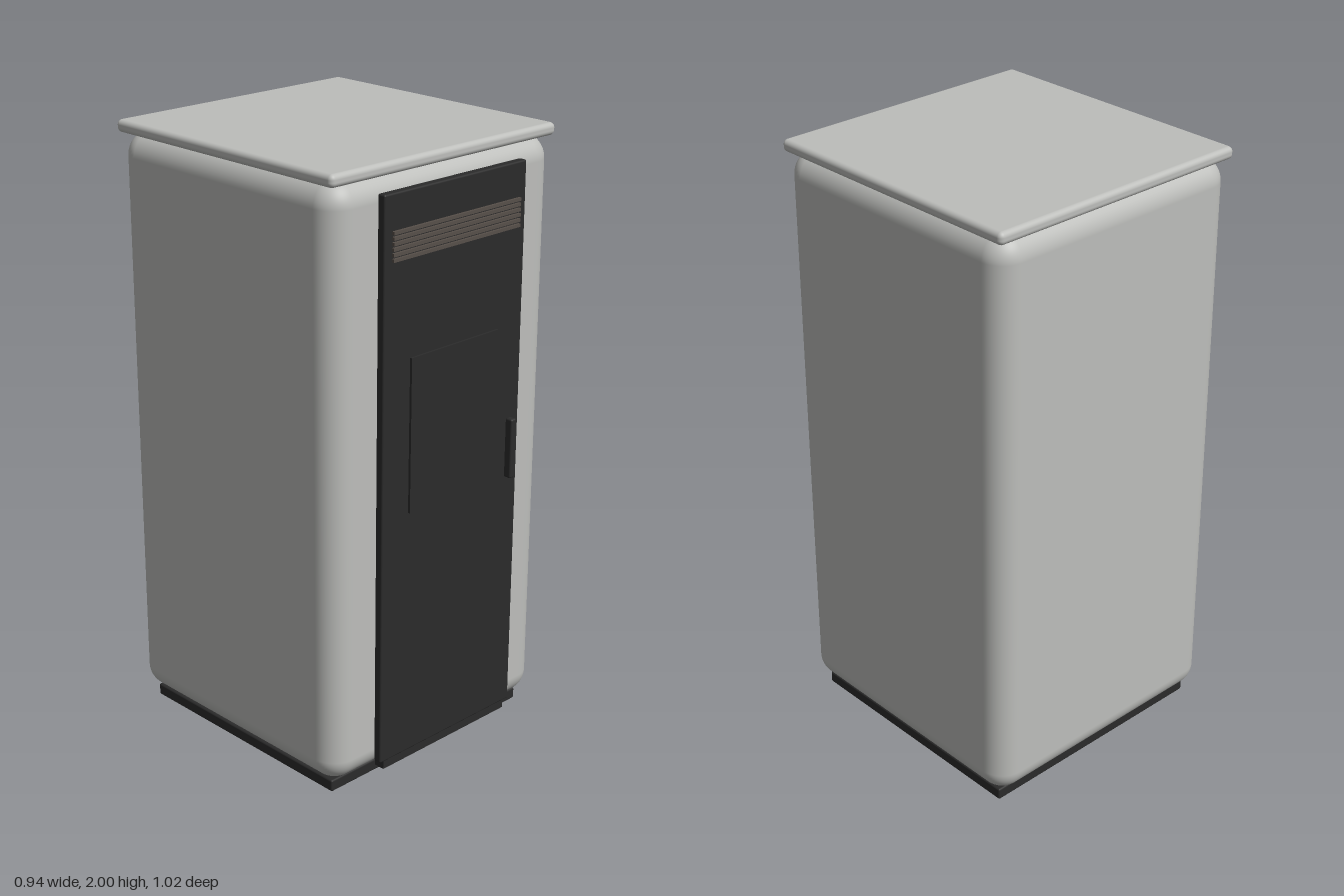
import * as THREE from 'three';
import { RoundedBoxGeometry } from 'three/addons/geometries/RoundedBoxGeometry.js';

const material = (name, color) => {
  const m = new THREE.MeshStandardMaterial({ color });
  m.name = name;
  return m;
};

export function createModel() {
  const group = new THREE.Group();
  group.name = 'stove';

  const casingGrey = material('casingGrey', 0xbdbebb);
  const doorBlack = material('doorBlack', 0x2b2b2b);
  const grilleBrown = material('grilleBrown', 0x574f49);

  // Box given by its x, y and z limits; radius > 0 rounds the edges
  const box = (name, mat, [x0, x1], [y0, y1], [z0, z1], radius = 0, segments = 3) => {
    const size = [x1 - x0, y1 - y0, z1 - z0];
    const geometry = radius
      ? new RoundedBoxGeometry(...size, segments, radius)
      : new THREE.BoxGeometry(...size);
    const mesh = new THREE.Mesh(geometry, mat);
    mesh.name = name;
    mesh.position.set((x0 + x1) / 2, (y0 + y1) / 2, (z0 + z1) / 2);
    group.add(mesh);
  };

  // Plinth, rounded casing and lid
  box('plinth', doorBlack, [-0.43, 0.43], [0, 0.04], [-0.46, 0.4], 0.006, 2);
  box('casing', casingGrey, [-0.47, 0.47], [0.042, 1.97], [-0.51, 0.45], 0.08, 8);
  box('lid', casingGrey, [-0.472, 0.472], [1.96, 2], [-0.512, 0.449], 0.016, 4);

  // Tall front door with its backing, which shows below as a narrow lip
  box('doorBacking', doorBlack, [-0.28, 0.28], [0.055, 1.9], [0.44, 0.478]);
  box('door', doorBlack, [-0.3, 0.3], [0.085, 1.92], [0.455, 0.484], 0.006, 2);

  // Window plate and handle
  box('window', doorBlack, [-0.19, 0.187], [0.915, 1.412], [0.483, 0.492]);
  box('handle', doorBlack, [0.242, 0.265], [0.905, 1.105], [0.482, 0.51], 0.006, 2);

  // Air grille slats
  for (let i = 0; i < 6; i++) {
    const y = 1.724 + i * 0.0162;
    box('grilleSlat', grilleBrown, [-0.27, 0.27], [y - 0.005, y + 0.005], [0.483, 0.493]);
  }

  return group;
}
